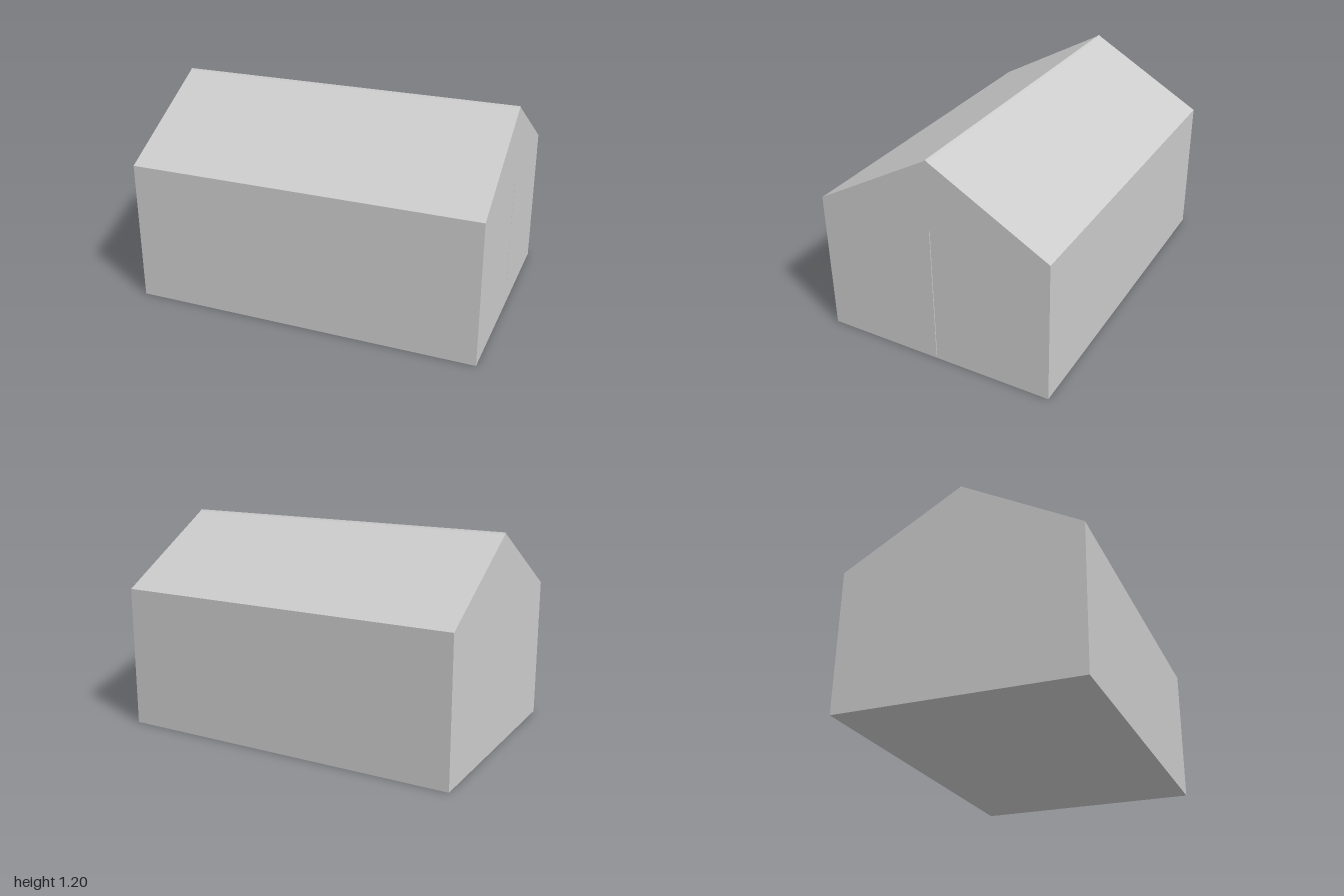
import * as THREE from 'three';

const L = 2, W = 0.675, EAVE = 0.815, RIDGE = 1.2, T = 0.01;

export function createModel() {
  const house = new THREE.Group();
  house.name = 'house';
  const material = new THREE.MeshStandardMaterial({ color: 0xcccccc, flatShading: true });

  const add = (name, geometry, x = 0, y = 0, z = 0) => {
    const mesh = new THREE.Mesh(geometry, material);
    mesh.name = name;
    mesh.position.set(x, y, z);
    house.add(mesh);
  };
  const box = (name, sx, sy, sz, x, y, z) => add(name, new THREE.BoxGeometry(sx, sy, sz), x, y, z);

  // Prism along x from a [z, y] cross-section
  const prism = (name, section, length, x = 0) => {
    const shape = new THREE.Shape(section.map(([z, y]) => new THREE.Vector2(-z, y)));
    const geometry = new THREE.ExtrudeGeometry(shape, { depth: length, bevelEnabled: false });
    geometry.translate(0, 0, -length / 2).rotateY(Math.PI / 2);
    add(name, geometry, x);
  };

  // Floor and the walls standing on it
  const wallTop = EAVE - T, wallH = wallTop - T, wallY = T + wallH / 2;
  box('floor', L, T, 2 * W, 0, T / 2, 0);
  box('leftGableWall', T, wallH, 2 * W, -L / 2 + T / 2, wallY, 0);
  for (const s of [1, -1]) {
    box(s > 0 ? 'frontWall' : 'backWall', L - 2 * T, wallH, T, 0, wallY, s * (W - T / 2));
  }

  // Two end panels meeting at a narrow centre seam
  const seam = 0.004, panelW = W - seam / 2;
  for (const s of [1, -1]) {
    box(s > 0 ? 'frontEndDoor' : 'backEndDoor', T, wallH, panelW,
      L / 2 - T / 2, wallY, s * (seam / 2 + panelW / 2));
  }

  // Gable triangles
  for (const s of [1, -1]) {
    prism(s > 0 ? 'rightGable' : 'leftGable',
      [[-W, wallTop], [W, wallTop], [0, RIDGE - T]], T, s * (L / 2 - T / 2));
  }

  // Roof slopes
  for (const s of [1, -1]) {
    prism(s > 0 ? 'frontRoof' : 'backRoof',
      [[0, RIDGE - T], [0, RIDGE - 0.002], [s * W, EAVE], [s * W, wallTop]], L);
  }

  // Slim ridge cap
  prism('ridgeCap', [[-0.009, RIDGE - 0.007], [0.009, RIDGE - 0.007], [0, RIDGE + 0.002]], L);

  return house;
}
